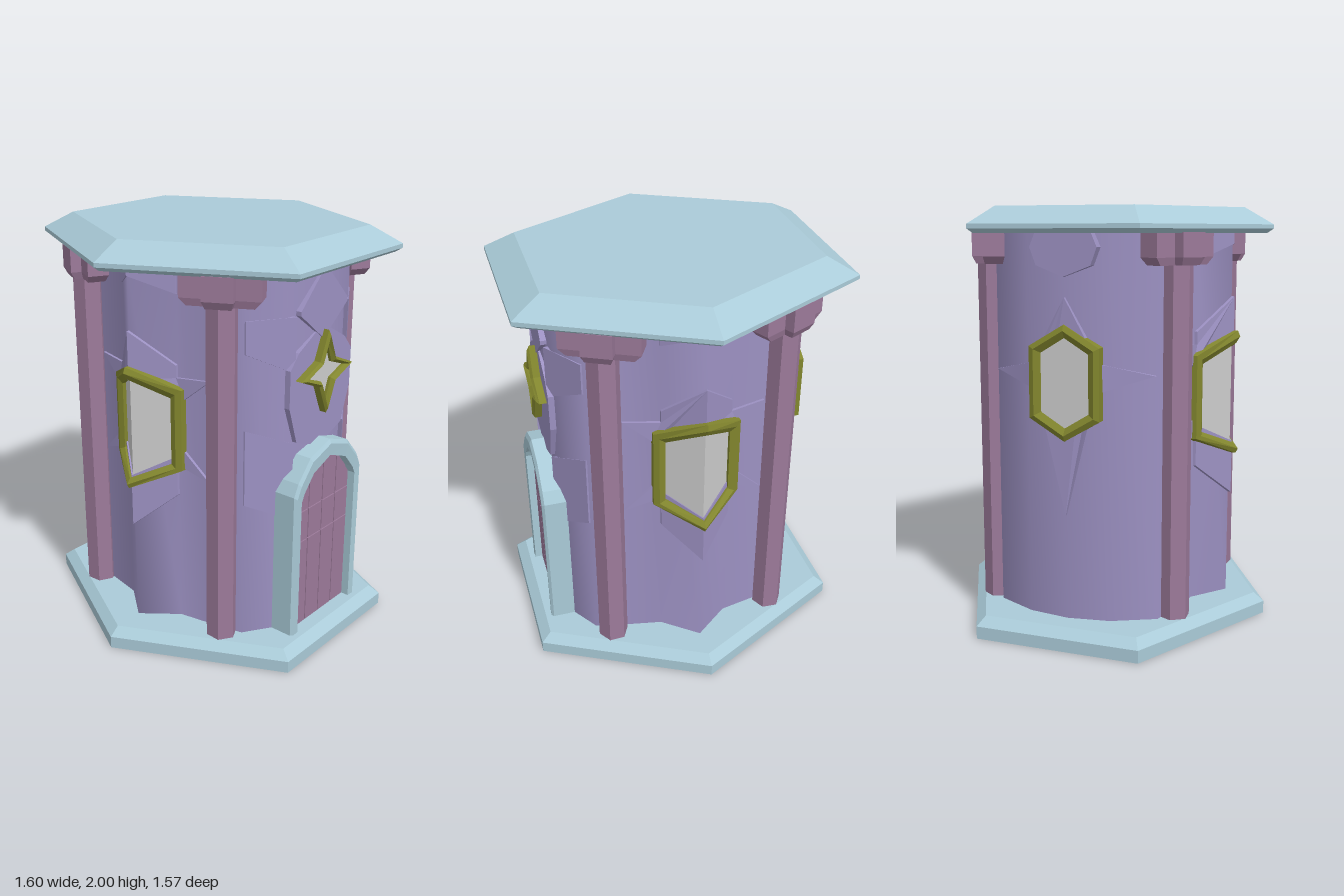
import * as THREE from 'three';
import { toCreasedNormals } from 'three/addons/utils/BufferGeometryUtils.js';

const mat = (color) => new THREE.MeshStandardMaterial({ color });

export function createModel() {
  const model = new THREE.Group();
  const wall = mat(0x9c91c2), wood = mat(0x9c7a9a), trim = mat(0xaacbd8);
  const olive = mat(0x82862e), glass = mat(0xcccccc);

  const add = (name, geo, material, parent = model) => {
    const mesh = new THREE.Mesh(geo, material);
    mesh.name = name;
    parent.add(mesh);
    return mesh;
  };
  const flat = (geo) => {
    const g = geo.index ? geo.toNonIndexed() : geo;
    g.computeVertexNormals();
    return g;
  };
  // how far each wall falls back with distance from its middle
  const noFold = () => 0;
  const sideFold = (x) => 0.8 * Math.min(x, 0.17) + 0.2 * Math.max(0, x - 0.17);
  const backFold = (x) => 0.42 * Math.max(0, x - 0.1);
  const frontFold = (x) => 0.62 * Math.max(0, x - 0.2);
  // fold a piece along the wall, then turn it to face the given side
  const place = (geo, angle, fold) => {
    const p = geo.attributes.position;
    for (let i = 0; i < p.count; i++) p.setZ(i, p.getZ(i) - fold(Math.abs(p.getX(i))));
    return flat(geo).rotateY(angle);
  };
  const mirror = (pts) => pts.map(([x, y]) => [-x, y]).reverse();
  const both = (half) => [...half, ...mirror(half).filter(([x]) => x !== 0)];
  const slab = (pts, back, front) => {
    const shape = new THREE.Shape(pts.map((p) => new THREE.Vector2(...p)));
    return new THREE.ExtrudeGeometry(shape, { depth: front - back, bevelEnabled: false }).translate(0, 0, back);
  };
  // folded plate made from a right half outline and its mirror
  const folded = (name, half, back, front, material, angle, fold) => {
    for (const pts of [half, mirror(half)]) add(name, place(slab(pts, back, front), angle, fold), material);
  };
  // ridged frame between two counter-clockwise outlines
  const frame = (name, outer, inner, back, front, material, angle, fold, ridge = 0.45, drop = 0.02) => {
    const mid = outer.map(([x, y], i) => [x + (inner[i][0] - x) * ridge, y + (inner[i][1] - y) * ridge]);
    const loops = [[outer, back], [outer, front - 0.012], [mid, front], [inner, front - drop], [inner, back]];
    const pos = [], n = outer.length;
    for (let l = 0; l < 4; l++) for (let i = 0; i < n; i++) {
      const at = (k, j) => [...loops[k][0][j % n], loops[k][1]];
      const a = at(l, i), b = at(l, i + 1), c = at(l + 1, i + 1), d = at(l + 1, i);
      pos.push(...a, ...b, ...c, ...a, ...c, ...d);
    }
    const geo = new THREE.BufferGeometry();
    geo.setAttribute('position', new THREE.Float32BufferAttribute(pos, 3));
    add(name, place(geo, angle, fold), material);
  };

  // six-sided foundation and roof
  const hex = (profile) => flat(new THREE.LatheGeometry(
    profile.map((p) => new THREE.Vector2(...p)), 6, Math.PI / 2)).scale(1, 1, 1.133);
  add('foundation', hex([[0, 0], [0.8, 0], [0.8, 0.06], [0.75, 0.1], [0, 0.1]]), trim);
  add('roof', hex([[0, 1.88], [0.77, 1.88], [0.8, 1.9], [0.8, 1.92], [0.66, 2], [0, 2]]), trim);

  // tower wall: ridged sides, bowed front and back
  const side = [[0.605, 0], [0.47, 0.17], [0.435, 0.35], [0.4, 0.5]];
  const right = [...side.slice(1).reverse().map(([x, z]) => [x, -z]), ...side];
  const plan = [[0, -0.63], [0.2, -0.6], ...right, [0.24, 0.605], [0, 0.63],
    [-0.24, 0.605], ...mirror(right), [-0.2, -0.6]];
  const tower = slab(plan.map(([x, z]) => [x, -z]).reverse(), 0.09, 1.89).rotateX(-Math.PI / 2);
  add('wall', toCreasedNormals(tower, 1.35), wall);

  // corner columns with cross-shaped capitals
  for (const sx of [-1, 1]) for (const sz of [-1, 1]) {
    const column = new THREE.Group();
    column.name = 'column';
    column.position.set(sx * 0.455, 0, sz * 0.42);
    column.rotation.y = Math.atan2(sx * 0.89, sz * 0.454);
    model.add(column);
    add('shaft', flat(new THREE.CylinderGeometry(0.075, 0.075, 1.68, 6)).translate(0, 0.93, 0), wood, column);
    for (const [w, d] of [[0.365, 0.1], [0.14, 0.2]]) {
      add('capitalBlock', new THREE.BoxGeometry(w, 0.11, d).translate(0, 1.83, 0), wood, column);
      const taper = flat(new THREE.CylinderGeometry(Math.SQRT1_2, 0.58, 0.035, 4)).rotateY(Math.PI / 4);
      add('capitalTaper', taper.scale(w, 1, d).translate(0, 1.7575, 0), wood, column);
    }
  }

  // folded side windows with stones above and below
  const lowerStone = [[0, 0.61], [0.17, 0.77], [0.17, 0.93], [0.34, 0.87], [0.21, 1], [0.17, 0.97], [0, 0.87]];
  const upperStone = [[0, 1.35], [0.17, 1.27], [0.21, 1.26], [0.34, 1.37], [0.17, 1.36], [0.17, 1.42], [0, 1.58]];
  const topStone = [[0, 1.83], [0.17, 1.75], [0.17, 1.89], [0, 1.89]];
  for (const angle of [Math.PI / 2, -Math.PI / 2]) {
    folded('sideLowerStone', lowerStone, 0.57, 0.62, wall, angle, sideFold);
    folded('sideUpperStone', upperStone, 0.57, 0.62, wall, angle, sideFold);
    folded('sideTopStone', topStone, 0.57, 0.613, wall, angle, sideFold);
    folded('sideGlass', [[0, 0.85], [0.16, 0.93], [0.16, 1.28], [0, 1.36]], 0.58, 0.61, glass, angle, sideFold);
    frame('sideFrame', both([[0, 0.81], [0.21, 0.91], [0.21, 1.31], [0, 1.415]]),
      both([[0, 0.86], [0.155, 0.935], [0.155, 1.265], [0, 1.355]]), 0.57, 0.652, olive, angle, sideFold);
  }

  // back window with four-spiked surround
  folded('backSurround', [[0, 0.6], [0.1, 1.02], [0.14, 1.17], [0.39, 1.25], [0.14, 1.31], [0.1, 1.42], [0, 1.6]],
    0.53, 0.645, wall, Math.PI, backFold);
  const backTop = both([[0, 1.69], [0.13, 1.74], [0.16, 1.82], [0.13, 1.89]]);
  add('backTopStone', place(slab(backTop, 0.58, 0.655), Math.PI, noFold), wall);
  const backPane = both([[0, 1.01], [0.115, 1.08], [0.115, 1.35], [0, 1.42]]);
  add('backGlass', place(slab(backPane, 0.58, 0.647), Math.PI, noFold), glass);
  frame('backFrame', both([[0, 0.95], [0.17, 1.05], [0.17, 1.38], [0, 1.48]]),
    backPane, 0.57, 0.667, olive, Math.PI, noFold);

  // front stones
  add('frontTopStone', slab(both([[0, 1.53], [0.18, 1.67], [0.18, 1.69], [0, 1.87]]), 0.59, 0.64), wall);
  add('starSurround', slab(both([[0, 1.0], [0.18, 1.07], [0.24, 1.25], [0.24, 1.43], [0.18, 1.5], [0, 1.6]]), 0.57, 0.634), wall);
  const sideStones = [
    [[0.2, 1.41], [0.4, 1.52], [0.4, 1.67], [0.2, 1.67]],
    [[0.2, 0.9], [0.27, 0.72], [0.4, 0.79], [0.4, 1.16], [0.2, 1.07]],
  ];
  for (const pts of sideStones) folded('frontSideStone', pts, 0.58, 0.632, wall, 0, frontFold);

  // four-pointed star window
  const star = (r, inner) => Array.from({ length: 8 }, (_, i) => {
    const a = i * Math.PI / 4, d = i % 2 ? inner : r;
    return [Math.cos(a) * d, 1.375 + Math.sin(a) * d];
  });
  add('starGlass', slab(star(0.155, 0.058), 0.58, 0.646), glass);
  frame('starFrame', star(0.2, 0.085), star(0.145, 0.055), 0.59, 0.68, olive, 0, noFold);

  // arched door: trim and planks following the arch
  const outer = both([[0, 0.09], [0.27, 0.09], [0.27, 0.84], [0.24, 0.9], [0.15, 1], [0, 1.05]]);
  const inner = both([[0, 0.09], [0.22, 0.09], [0.22, 0.8], [0.2, 0.84], [0.13, 0.92], [0, 0.97]]);
  frame('doorTrim', outer, inner, 0.56, 0.708, trim, 0, noFold, 0.25, 0.003);
  add('doorBack', slab(inner, 0.58, 0.66), wood);
  const half = [[0, 0.97], [0.13, 0.92], [0.22, 0.8]];
  const arch = (x) => {
    const k = x < 0.13 ? 0 : 1, [a, b] = [half[k], half[k + 1]];
    return a[1] + (b[1] - a[1]) * (x - a[0]) / (b[0] - a[0]);
  };
  const gap = 0.003, rows = [0.1, 0.56, 0.72];
  for (const [x0, x1] of [[0, 0.11], [0.11, 0.22]]) {
    const l = x0 + gap, r = x1 - gap;
    rows.forEach((y, i) => {
      const next = rows[i + 1];
      const pts = [[l, y + gap], [r, y + gap], [r, next ? next - gap : arch(r)], [l, next ? next - gap : arch(l)]];
      for (const board of [pts, mirror(pts)]) add('doorPlank', slab(board, 0.64, 0.668), wood);
    });
  }
  return model;
}
